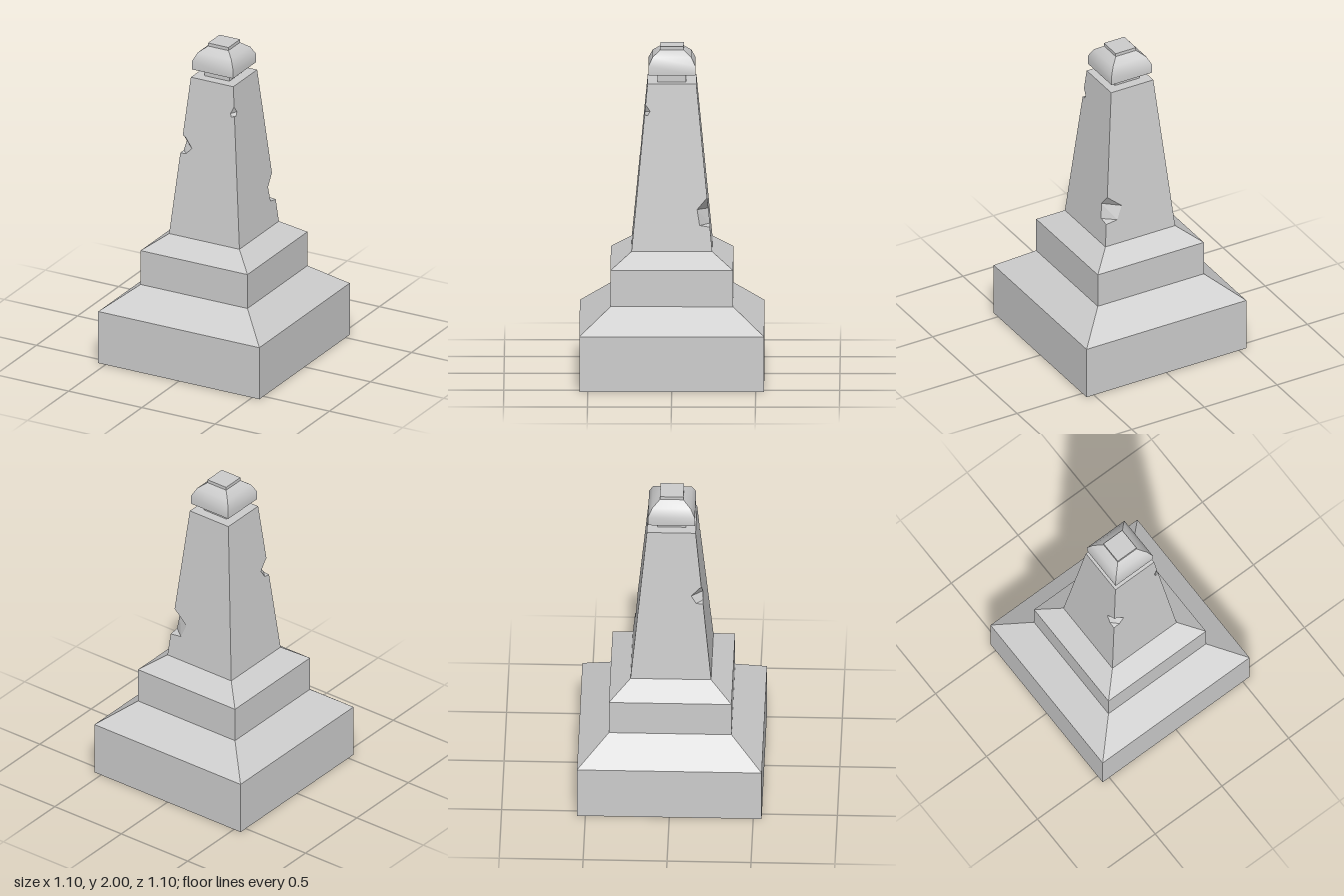
import * as THREE from 'three';
import { toCreasedNormals } from 'three/addons/utils/BufferGeometryUtils.js';

const material = new THREE.MeshStandardMaterial({ color: 0xcccccc, side: THREE.DoubleSide });

// Square "lathe": profile of [half width, height] pairs swept round four sides
function squareTier(name, profile) {
  const points = profile.map(([half, y]) => new THREE.Vector2(half * Math.SQRT2, y));
  const geometry = new THREE.LatheGeometry(points, 4, Math.PI / 4);
  const mesh = new THREE.Mesh(toCreasedNormals(geometry, 0.6), material);
  mesh.name = name;
  return mesh;
}

// Tapering shaft
const BOTTOM = 0.79, TOP = 1.79;
const half = (y) => 0.24 - 0.095 * (y - BOTTOM) / (TOP - BOTTOM);

// Chips broken out of the shaft corners. Corner k joins side k to side k + 1,
// counted from the front towards the model's left. Rims run from top to bottom
// as [distance from the side's centre line, height].
const chips = {
  0: { top: 1.665, bottom: 1.605, before: [[0.135, 1.62], [0.14, 1.6]], after: [[0.13, 1.625], [0.145, 1.6]] },
  1: { top: 1.11, bottom: 0.935, before: [[0.15, 1.04], [0.165, 0.945]], after: [[0.115, 1.03], [0.15, 0.945]] },
  3: { top: 1.42, bottom: 1.305, before: [[0.165, 1.41], [0.12, 1.36], [0.15, 1.31]], after: [[0.16, 1.41], [0.115, 1.35], [0.15, 1.31]] },
};

function rim(corner, key) {
  const chip = chips[corner];
  if (!chip) return [];
  return [[half(chip.top), chip.top], ...chip[key], [half(chip.bottom), chip.bottom]];
}

function onSide(u, y, side) {
  return new THREE.Vector3(u, y, half(y)).applyAxisAngle(new THREE.Vector3(0, 1, 0), side * Math.PI / 2);
}

function shaftSide(side) {
  const right = rim(side, 'before').reverse();
  const left = rim((side + 3) % 4, 'after').map(([u, y]) => [-u, y]);
  const outline = [
    [-half(BOTTOM), BOTTOM], [half(BOTTOM), BOTTOM], ...right,
    [half(TOP), TOP], [-half(TOP), TOP], ...left,
  ];
  const geometry = new THREE.ShapeGeometry(new THREE.Shape(outline.map(([u, y]) => new THREE.Vector2(u, y))));
  const position = geometry.attributes.position;
  for (let i = 0; i < position.count; i++) {
    const p = onSide(position.getX(i), position.getY(i), side);
    position.setXYZ(i, p.x, p.y, p.z);
  }
  geometry.computeVertexNormals();
  const mesh = new THREE.Mesh(geometry, material);
  mesh.name = 'shaftSide';
  return mesh;
}

// Facets bridging the two rims of a chip
function chipFacets(corner) {
  const a = rim(corner, 'before').map(([u, y]) => onSide(u, y, corner));
  const b = rim(corner, 'after').map(([u, y]) => onSide(-u, y, corner + 1));
  const points = [];
  for (let i = 0; i < a.length - 1; i++) {
    if (i > 0) points.push(a[i], b[i + 1], b[i]);
    if (i < a.length - 2) points.push(a[i], a[i + 1], b[i + 1]);
  }
  const geometry = new THREE.BufferGeometry().setFromPoints(points);
  geometry.computeVertexNormals();
  const mesh = new THREE.Mesh(geometry, material);
  mesh.name = 'cornerChip';
  return mesh;
}

export function createModel() {
  const model = new THREE.Group();
  model.name = 'monument';

  // Hollow stepped base, open underneath
  model.add(squareTier('base', [[0.55, 0], [0.55, 0.335], [0.365, 0.48]]));
  model.add(squareTier('plinth', [[0.365, 0.48], [0.365, 0.7], [0.24, BOTTOM]]));

  const shaft = new THREE.Group();
  shaft.name = 'shaft';
  for (let side = 0; side < 4; side++) shaft.add(shaftSide(side));
  for (const corner of Object.keys(chips)) shaft.add(chipFacets(Number(corner)));
  model.add(shaft);

  // Ledge and neck, then the rounded cap with its small top block
  model.add(squareTier('neck', [[0.145, TOP], [0.085, TOP], [0.085, 1.84]]));
  model.add(squareTier('cap', [
    [0.085, 1.84], [0.14, 1.84], [0.14, 1.895], [0.115, 1.945], [0.07, 1.98],
  ]));
  model.add(squareTier('topBlock', [[0.07, 1.98], [0.07, 2], [0, 2]]));
  return model;
}
